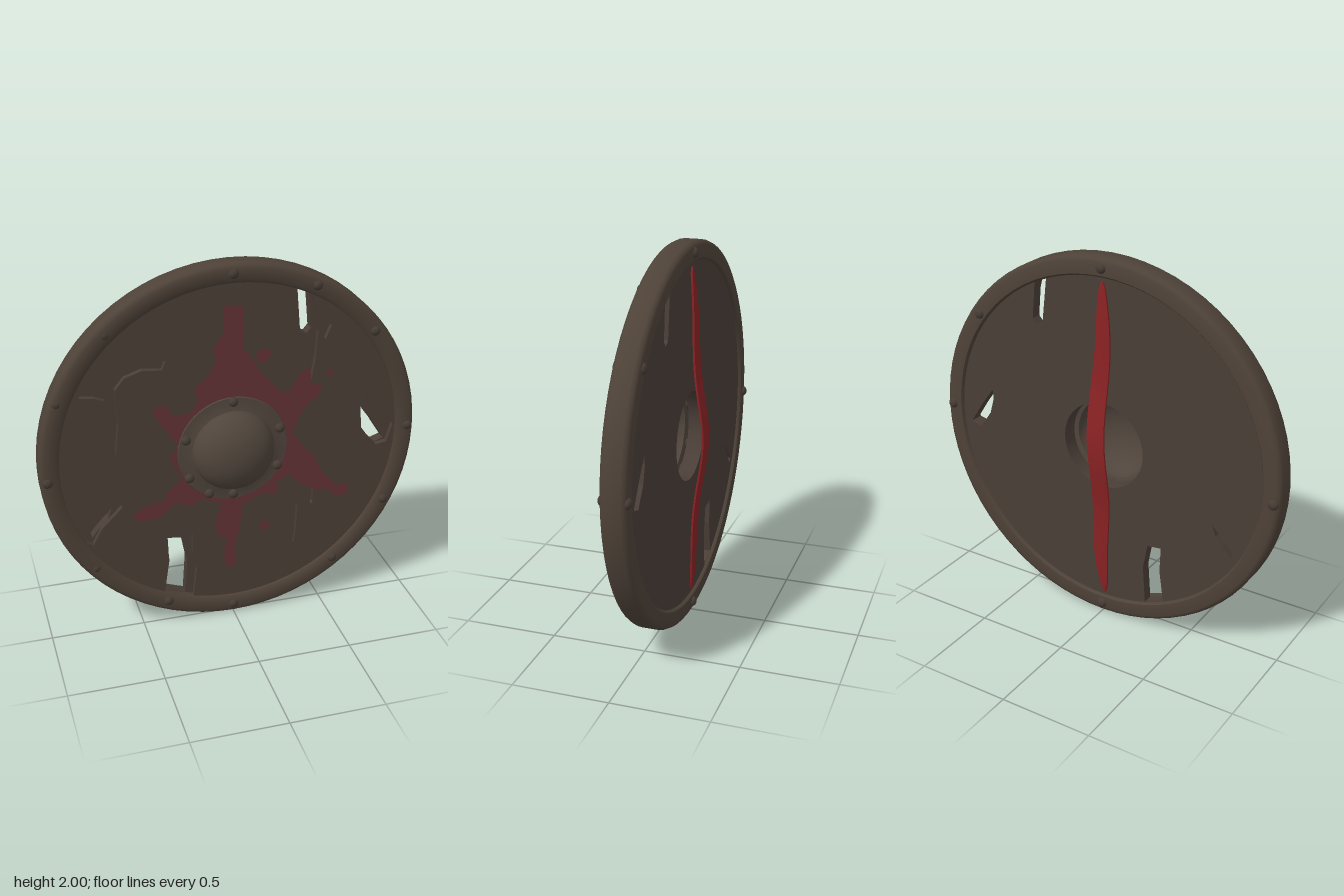
import * as THREE from 'three';
import { toCreasedNormals } from 'three/addons/utils/BufferGeometryUtils.js';

const mat = (name, color, side = THREE.FrontSide) => {
  const m = new THREE.MeshStandardMaterial({ color, side });
  m.name = name;
  return m;
};

// Flat list of hundredths, measured from the shield's centre, to 2D points
const pts = (list) => {
  const out = [];
  for (let i = 0; i < list.length; i += 2) out.push(new THREE.Vector2(list[i] / 100, list[i + 1] / 100));
  return out;
};

const disc = (radius) => new THREE.Shape().absarc(0, 0, radius, 0, Math.PI * 2, false);
const circleHole = (radius) => new THREE.Path().absarc(0, 0, radius, 0, Math.PI * 2, true);

// Torn openings in the front layer of wood
const frontTears = [
  [33, 85, 41, 82, 44, 70, 52, 62, 49, 55, 45, 60, 44, 45, 41, 28, 38, 48, 35, 62],
  [67, 31, 73, 24, 75, 17, 83, 9, 89, 2, 86, -8, 80, -9, 71, 1, 70, 13],
  [-37, -42, -33, -46, -30, -43, -27, -49, -22, -47, -22, -60, -20, -70, -22, -88, -38, -82, -35, -62],
  [-80, -43, -73, -34, -68, -26, -60, -21, -59, -26, -66, -33, -70, -37, -75, -46],
  [-78, 38, -73, 46, -66, 52, -62, 66, -60, 52, -50, 53, -34, 53, -36, 48, -46, 49, -55, 46,
    -60, 40, -59, 22, -61, 4, -63, 22, -65, 35, -70, 37],
  [35, -39, 36.5, -38, 36, -50, 35, -62, 34, -62, 35, -50],
  [44, -22, 45, -24, 45, -39, 43.5, -40],
];

// Smaller openings that go right through the back layer
const backTears = [
  [33, 85, 40, 83, 42, 61, 39.5, 58, 36, 60],
  [70, 15, 78, 4, 85, -7, 79, -9, 72, 1, 69.5, 10],
  [-35, -50, -27, -51, -24.5, -65, -26, -86, -37, -82, -34.5, -64],
  [-76, -40, -70, -33, -64, -27, -66, -33, -70, -37, -75, -43],
];

// Dried splash painted around the boss
const splash = [
  -5, 78, 5, 78, 6, 64, 5, 56, 11, 48, 13, 43, 20, 35, 25, 30, 30, 28, 35, 37, 41, 41, 42, 32, 48, 30,
  46, 24, 40, 20, 36, 13, 32, 5, 40, -6, 45, -11, 49, -20, 57, -29, 65, -31, 65, -37, 57, -37, 53, -32,
  45, -31, 36, -25, 31, -20, 25, -23, 25, -31, 18, -29, 11, -31, 5, -35, 4, -48, 1, -59, 2, -71, -3, -73,
  -5, -64, -3, -54, -9, -50, -9, -40, -6, -32, -16, -27, -23, -31, -31, -27, -39, -35, -50, -36, -54, -32,
  -47, -27, -37, -25, -35, -20, -27, -14, -31, -6, -34, 0, -28, 5, -34, 13, -39, 21, -42, 28, -36, 30,
  -31, 23, -23, 23, -18, 29, -20, 37, -12, 43, -9, 50, -10, 57, -5, 64,
];

export function createModel() {
  const wood = mat('dark wood', 0x4a3e37);
  const rimMat = mat('rim iron', 0x4e4238);
  const iron = mat('boss iron', 0x50453c, THREE.DoubleSide);
  const rivetMat = mat('rivet iron', 0x463c35);
  const paint = mat('faded red paint', 0x623235);
  const leather = mat('red leather', 0x8a2224);

  const root = new THREE.Group();
  root.name = 'roundShield';
  const shield = new THREE.Group();
  shield.name = 'shieldBody';
  shield.position.y = 1;
  root.add(shield);
  const add = (name, geometry, material) => {
    const mesh = new THREE.Mesh(geometry, material);
    mesh.name = name;
    shield.add(mesh);
    return mesh;
  };

  // Two layers of board, torn by different amounts
  const layer = (name, tears, back, depth) => {
    const shape = disc(0.94);
    shape.holes.push(circleHole(0.235));
    for (const t of tears) shape.holes.push(new THREE.Path(pts(t)));
    const g = new THREE.ExtrudeGeometry(shape, { depth, bevelEnabled: false, curveSegments: 48 });
    g.translate(0, 0, back);
    add(name, g, wood);
  };
  layer('frontBoard', frontTears, -0.025, 0.03);
  layer('backBoard', backTears, -0.082, 0.057);

  // Painted splash and stray drops
  const splashShape = new THREE.Shape(pts(splash));
  splashShape.holes.push(circleHole(0.24));
  add('paintSplash', new THREE.ShapeGeometry(splashShape, 32), paint).position.z = 0.008;
  for (const [x, y, r] of [[0.16, 0.5, 0.04], [0.52, 0.365, 0.022], [0.18, -0.49, 0.03]]) {
    const drop = add('paintDrop', new THREE.CircleGeometry(r, 10), paint);
    drop.position.set(x, y, 0.008);
  }

  // Metal rim with softened edges
  const rimProfile = [
    [0.9, -0.085], [0.91, -0.098], [0.975, -0.1], [0.992, -0.092], [1, -0.075],
    [1, 0.008], [0.992, 0.024], [0.975, 0.032], [0.915, 0.029], [0.9, 0.018], [0.9, -0.085],
  ].map(([r, h]) => new THREE.Vector2(r, h));
  const rimGeo = new THREE.LatheGeometry(rimProfile, 72);
  rimGeo.rotateX(Math.PI / 2);
  add('rim', toCreasedNormals(rimGeo, 0.7), rimMat);

  // Hollow domed boss with a flat flange
  const bossProfile = [[0.295, 0.004], [0.29, 0.015], [0.225, 0.017]];
  for (let i = 0; i <= 12; i++) {
    const a = (i / 12) * Math.PI / 2;
    bossProfile.push([0.218 * Math.cos(a), 0.02 + 0.145 * Math.sin(a)]);
  }
  const bossGeo = new THREE.LatheGeometry(bossProfile.map(([r, h]) => new THREE.Vector2(Math.max(r, 0), h)), 48);
  bossGeo.rotateX(Math.PI / 2);
  add('boss', toCreasedNormals(bossGeo, 0.7), iron);

  // Rivets
  const rivetGeo = new THREE.SphereGeometry(1, 14, 10);
  const rivet = (name, x, y, z, r) => {
    const m = add(name, rivetGeo, rivetMat);
    m.position.set(x, y, z);
    m.scale.set(r, r, r * 0.8);
  };
  const rimRivets = [[0, 0.95], [0.43, 0.85], [0.75, 0.575], [0.963, 0.015], [0.85, -0.42], [0.567, -0.75],
    [0, -0.95], [-0.364, -0.865], [-0.963, -0.05]];
  for (const [x, y] of rimRivets) rivet('rimRivet', x, y, 0.022, 0.028);
  for (const [x, y] of [[-0.743, -0.59], [-0.893, 0.37], [-0.64, 0.7]]) rivet('sunkenRimRivet', x, y, 0.016, 0.026);
  for (const i of [0, 2, 3, 6, 8]) rivet('backRimRivet', rimRivets[i][0], rimRivets[i][1], -0.095, 0.028);
  const bossRivets = [[0, 0.27], [-0.25, 0.085], [0.25, 0.09], [0.24, -0.125], [-0.235, -0.135],
    [-0.13, -0.24], [0, -0.26]];
  for (const [x, y] of bossRivets) rivet('bossRivet', x, y, 0.018, 0.026);

  // Leather grip strap: tapered ends, bowed away from the board at the hand
  const strap = new THREE.BoxGeometry(1, 2, 1, 4, 60, 1);
  const p = strap.attributes.position;
  for (let i = 0; i < p.count; i++) {
    const t = p.getY(i);
    const half = 0.005 + 0.045 * Math.pow(Math.max(0, 1 - Math.pow(Math.abs(t), 3)), 0.6);
    const u = p.getX(i) * 2;
    const z = -0.083 - 0.02 * (1 - Math.pow(t, 6)) - 0.056 * Math.exp(-Math.pow(t / 0.33, 2));
    const crown = 0.004 * (1 - u * u);
    p.setXYZ(i, -0.005 + 0.008 * Math.sin(t * 7) + u * half, t * 0.88, z + p.getZ(i) * 0.01 - crown);
  }
  strap.computeVertexNormals();
  add('gripStrap', strap, leather);

  return root;
}
